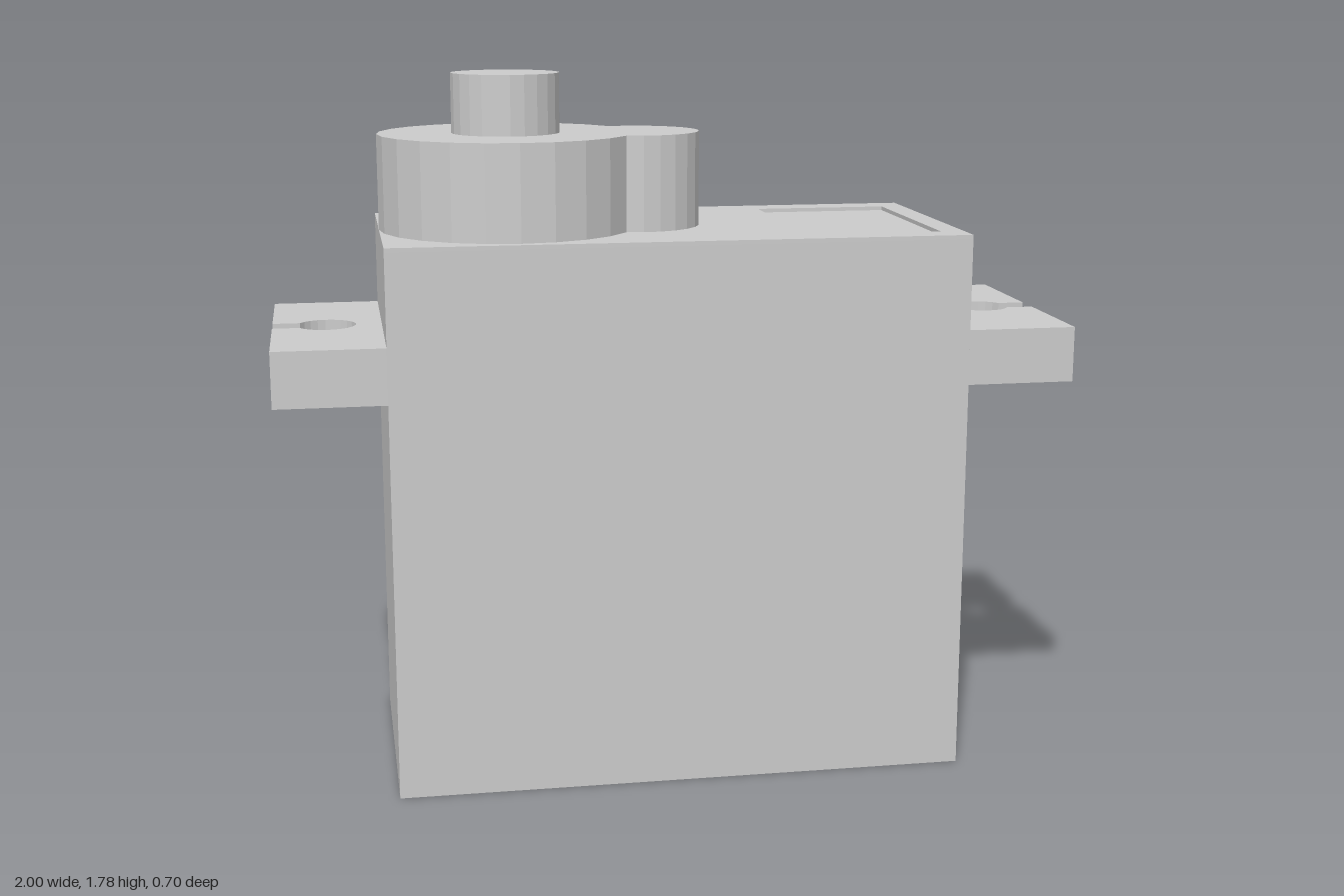
import * as THREE from 'three';

const material = new THREE.MeshStandardMaterial({ color: 0xcccccc, flatShading: true });

// Points along an arc in plan
function arc(cx, r, from, to, steps) {
  return Array.from({ length: steps + 1 }, (_, i) => {
    const a = from + ((to - from) * i) / steps;
    return new THREE.Vector2(cx + r * Math.cos(a), r * Math.sin(a));
  });
}

function rect(x0, x1, halfZ) {
  return [[x0, -halfZ], [x1, -halfZ], [x1, halfZ], [x0, halfZ]].map(([x, z]) => new THREE.Vector2(x, z));
}

// Raise a plan outline from y0 to y1
function slab(name, points, y0, y1, hole) {
  const shape = new THREE.Shape(points);
  if (hole) shape.holes.push(new THREE.Path(hole));
  const geometry = new THREE.ExtrudeGeometry(shape, { depth: y1 - y0, bevelEnabled: false });
  geometry.rotateX(-Math.PI / 2).translate(0, y0, 0);
  const mesh = new THREE.Mesh(geometry, material);
  mesh.name = name;
  return mesh;
}

export function createModel() {
  const model = new THREE.Group();
  model.name = 'servoMotor';
  const halfW = 0.725, halfD = 0.35, top = 1.39, floor = 1.38;

  // Case, with a shallow rectangular label recess in its top
  model.add(slab('case', rect(-halfW, halfW, halfD), 0, floor));
  model.add(slab('caseTop', rect(-halfW, halfW, halfD), floor, top, rect(0.315, 0.665, 0.27)));

  // Mounting ears with a keyhole open at the outer end
  const slot = 0.035, holeX = 0.865, holeR = 0.075;
  const mouth = Math.asin(slot / holeR);
  const ear = [
    new THREE.Vector2(halfW, -halfD),
    new THREE.Vector2(1, -halfD),
    new THREE.Vector2(1, -slot),
    ...arc(holeX, holeR, -mouth, mouth - Math.PI * 2, 20),
  ].concat([
    new THREE.Vector2(1, slot),
    new THREE.Vector2(1, halfD),
    new THREE.Vector2(halfW, halfD),
  ]);
  // the arc runs clockwise round the back of the hole
  for (const side of ['left', 'right']) {
    const mesh = slab(side + 'Ear', ear, 1.01, 1.15);
    if (side === 'right') mesh.rotation.y = Math.PI;
    model.add(mesh);
  }

  // Gear housing: large drum merged with a small lobe
  const bigX = -0.4, bigR = 0.325, lobeX = -0.068, lobeR = 0.163;
  const gap = lobeX - bigX;
  const along = (gap * gap + bigR * bigR - lobeR * lobeR) / (2 * gap);
  const across = Math.sqrt(bigR * bigR - along * along);
  const a = Math.atan2(across, along);
  const b = Math.atan2(across, along - gap);
  model.add(slab('gearHousing', [
    ...arc(bigX, bigR, a, Math.PI * 2 - a, 20),
    ...arc(lobeX, lobeR, -b, b, 14).slice(1, -1),
  ], top, 1.63));

  // Output shaft
  const shaft = new THREE.Mesh(new THREE.CylinderGeometry(0.137, 0.137, 0.15, 24), material);
  shaft.name = 'outputShaft';
  shaft.position.set(bigX, 1.705, 0);
  model.add(shaft);

  return model;
}
